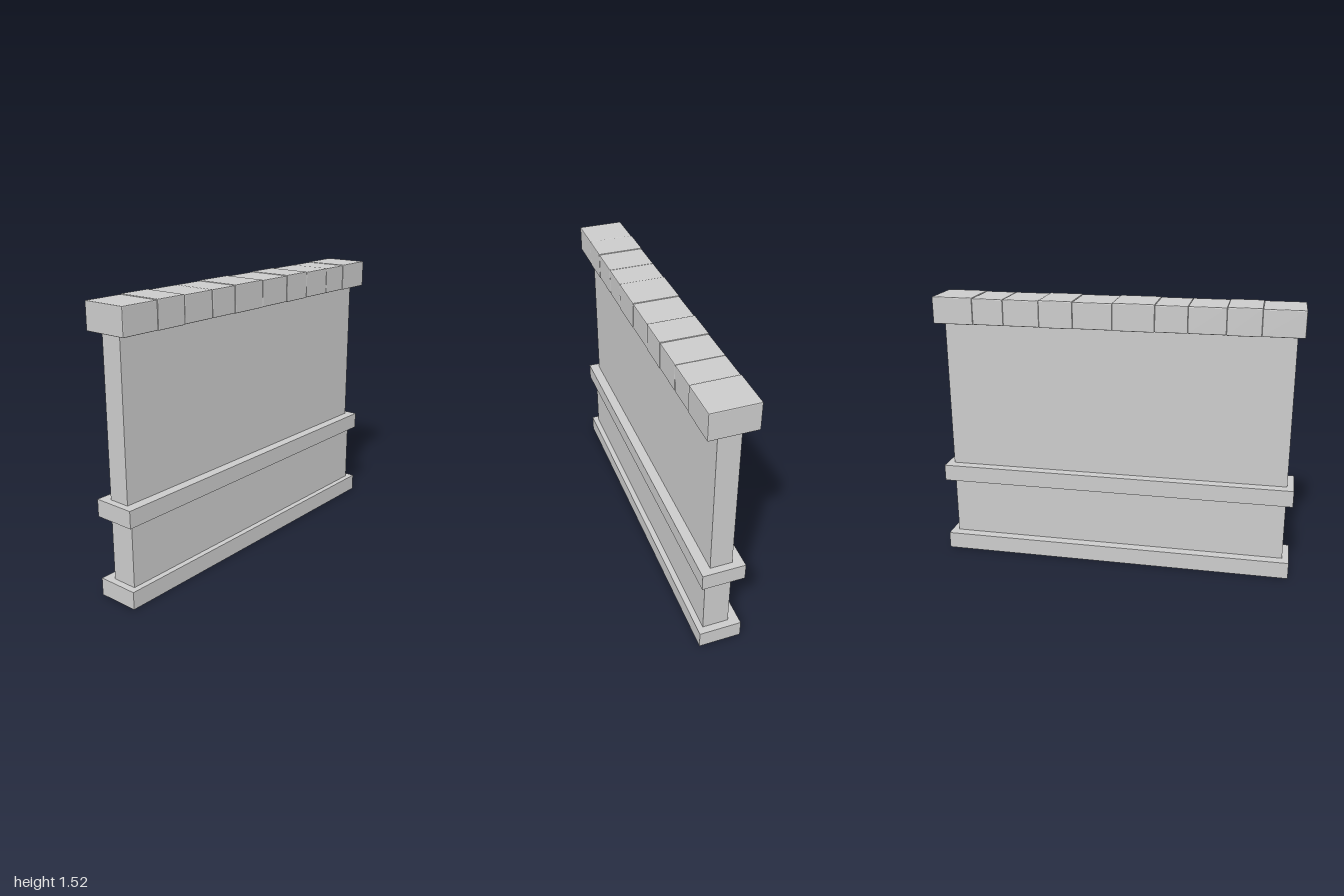
import * as THREE from 'three';
import { RoundedBoxGeometry } from 'three/addons/geometries/RoundedBoxGeometry.js';

const material = new THREE.MeshStandardMaterial({ color: 0xcccccc, flatShading: true });

// Place a geometry of the given extents between min and max corners
function addBlock(parent, name, [x0, y0, z0], [x1, y1, z1], bevel = 0) {
  const size = [x1 - x0, y1 - y0, z1 - z0];
  const geometry = bevel
    ? new RoundedBoxGeometry(...size, 1, bevel)
    : new THREE.BoxGeometry(...size);
  const mesh = new THREE.Mesh(geometry, material);
  mesh.name = name;
  mesh.position.set((x0 + x1) / 2, (y0 + y1) / 2, (z0 + z1) / 2);
  parent.add(mesh);
  return mesh;
}

export function createModel() {
  const wall = new THREE.Group();
  wall.name = 'gardenWall';

  // Wall panels: the lower one is thicker towards the front
  addBlock(wall, 'lowerPanel', [-0.963, 0.095, -0.058], [0.96, 0.44, 0.084]);
  addBlock(wall, 'upperPanel', [-0.963, 0.53, -0.058], [0.96, 1.375, 0.061]);

  // Projecting horizontal courses
  addBlock(wall, 'baseCourse', [-1, 0, -0.115], [1, 0.095, 0.116]);
  addBlock(wall, 'middleCourse', [-1, 0.437, -0.115], [1, 0.53, 0.116]);

  // Coping stones of uneven width, alternating slightly in size
  const coping = new THREE.Group();
  coping.name = 'coping';
  wall.add(coping);
  const joints = [-1, -0.78, -0.6, -0.4, -0.226, 0, 0.215, 0.4, 0.6, 0.773, 1];
  const tall = [0, 1, 0, 0, 1, 0, 1, 0, 0, 1];
  for (let i = 0; i < tall.length; i++) {
    const grow = tall[i] * 0.003;
    addBlock(coping, `copingStone${i + 1}`,
      [joints[i], 1.371 - grow / 2, -0.125 - grow / 2],
      [joints[i + 1], 1.515 + grow, 0.125 + grow / 2], 0.005);
  }
  return wall;
}
